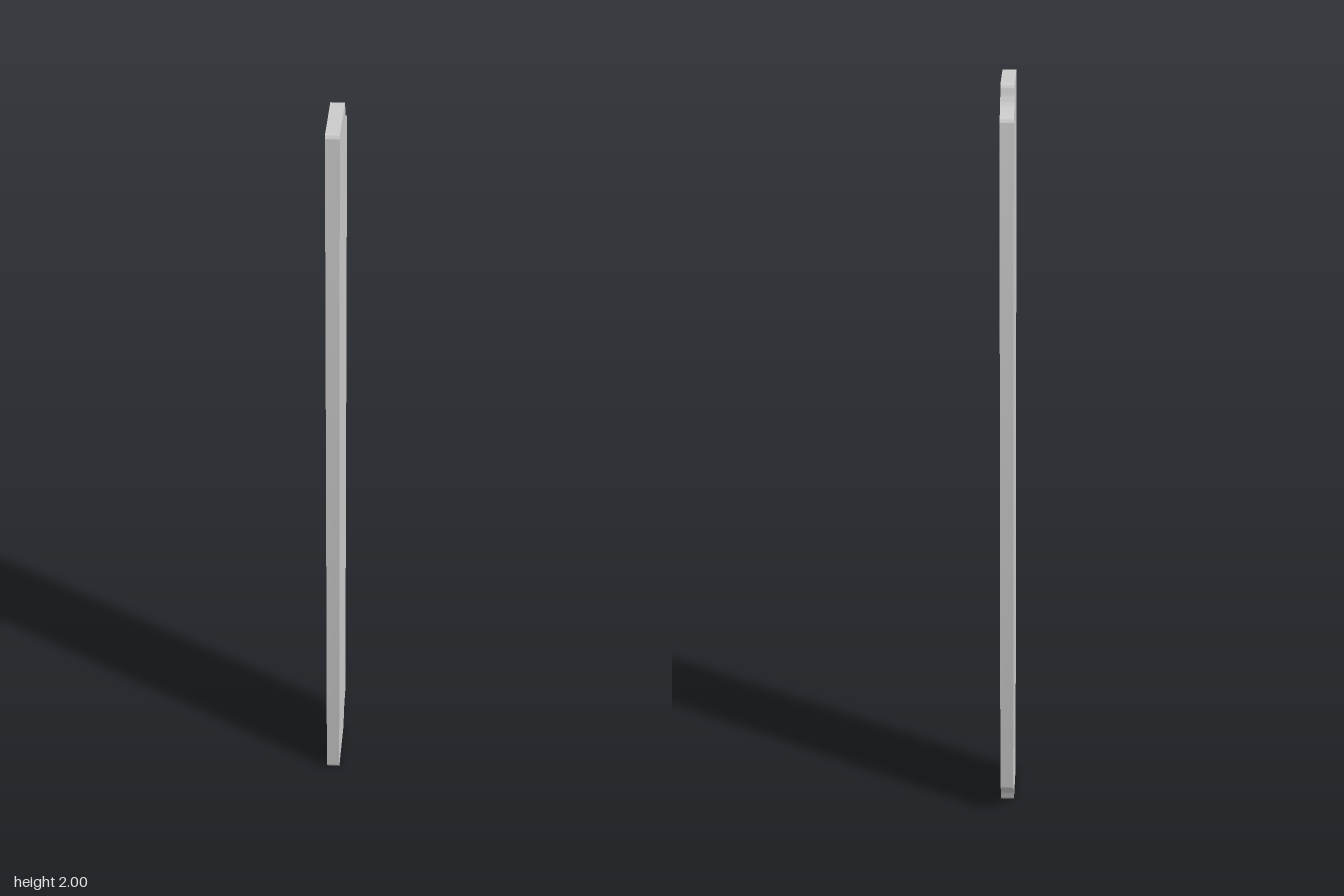
import * as THREE from 'three';
import { toCreasedNormals } from 'three/addons/utils/BufferGeometryUtils.js';

export function createModel() {
  const height = 2, half = 0.125, thickness = 0.035;
  const corner = 0.012; // rounding of the two plain corners
  const cove = 0.07;    // radius of the scooped corners
  const a = THREE.MathUtils.degToRad(102), b = THREE.MathUtils.degToRad(168);
  const far = cove * Math.abs(Math.cos(b)), near = cove * Math.sin(b);

  // Side outline: shape x runs towards the back, shape y is up
  const s = new THREE.Shape();
  s.moveTo(-half + corner, 0);
  // lower scooped corner with softened tips
  s.lineTo(0.04, 0);
  s.quadraticCurveTo(0.0534, 0, half - far, near);
  s.absarc(half, 0, cove, b, a, true);
  s.quadraticCurveTo(half, 0.0716, half, 0.085);
  // upper scooped corner
  s.lineTo(half, height - 0.085);
  s.quadraticCurveTo(half, height - 0.0716, half - near, height - far);
  s.absarc(half, height, cove, -a, -b, true);
  s.quadraticCurveTo(0.0534, height, 0.04, height);
  // plain front corners
  s.lineTo(-half + corner, height);
  s.absarc(-half + corner, height - corner, corner, Math.PI / 2, Math.PI, false);
  s.lineTo(-half, corner);
  s.absarc(-half + corner, corner, corner, Math.PI, Math.PI * 1.5, false);

  const extruded = new THREE.ExtrudeGeometry(s, { depth: thickness, bevelEnabled: false, curveSegments: 12 });
  extruded.translate(0, 0, -thickness / 2).rotateY(Math.PI / 2);

  const panel = new THREE.Mesh(
    toCreasedNormals(extruded, 0.6),
    new THREE.MeshStandardMaterial({ color: 0xcccccc })
  );
  panel.name = 'notchedPanel';

  const group = new THREE.Group();
  group.name = 'panel';
  group.add(panel);
  return group;
}
